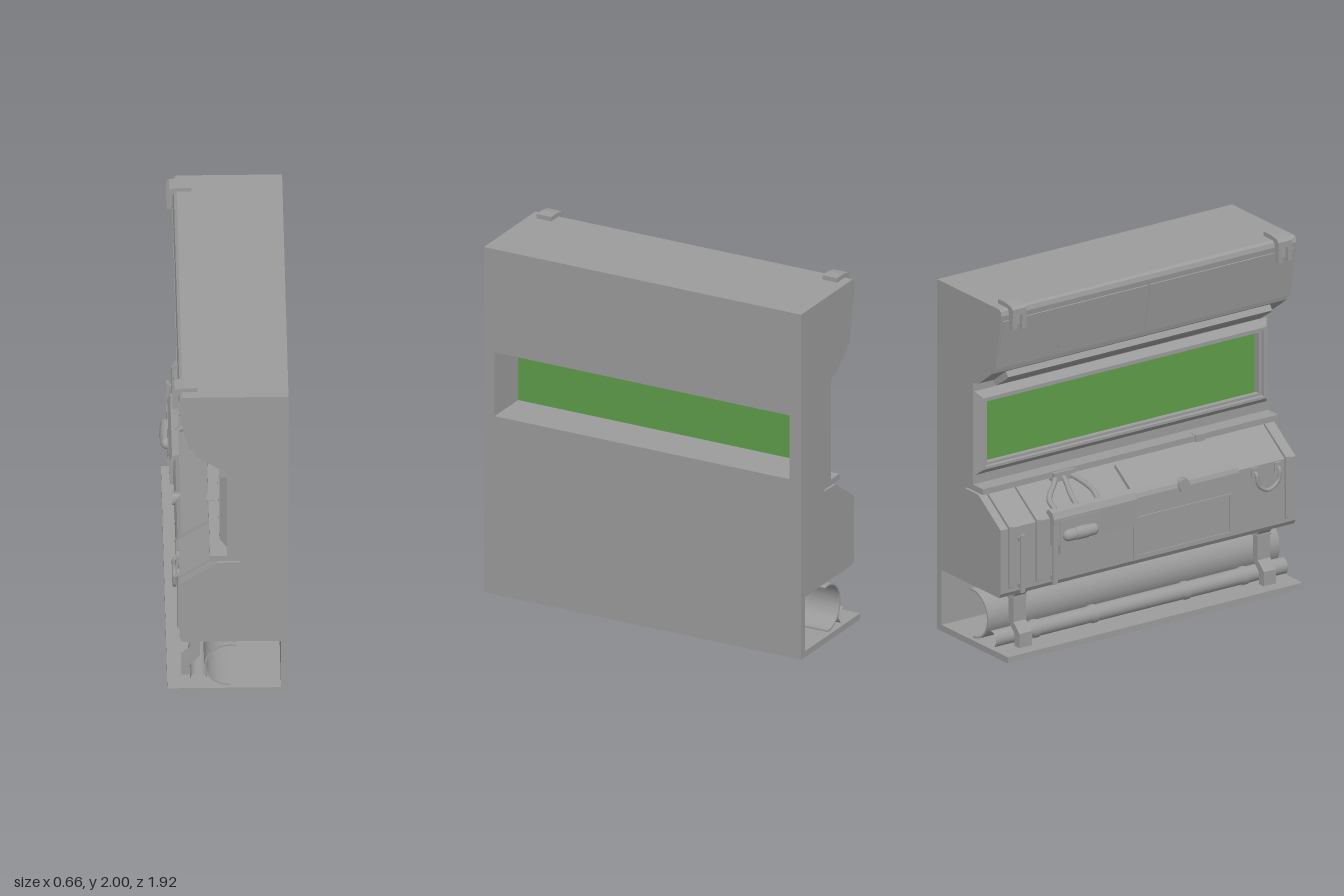
import * as THREE from 'three';

export function createModel() {
  const root = new THREE.Group();
  const metal = new THREE.MeshStandardMaterial({ color: 0x9b9b9b });
  const thin = new THREE.MeshStandardMaterial({ color: 0x9b9b9b, side: THREE.DoubleSide });
  const green = new THREE.MeshStandardMaterial({ color: 0x5e9c49 });

  const add = (name, geo, mat = metal) => {
    const m = new THREE.Mesh(geo, mat);
    m.name = name;
    root.add(m);
  };
  // box given by its min and max on each axis
  const box = (name, x0, x1, y0, y1, z0, z1, mat) =>
    add(name, new THREE.BoxGeometry(x1 - x0, y1 - y0, z1 - z0)
      .translate((x0 + x1) / 2, (y0 + y1) / 2, (z0 + z1) / 2), mat);
  // xy profile swept along z
  const sweep = (name, pts, z0, z1) => {
    const shape = new THREE.Shape(pts.map(p => new THREE.Vector2(...p)));
    const geo = new THREE.ExtrudeGeometry(shape, { depth: z1 - z0, bevelEnabled: false });
    add(name, geo.translate(0, 0, z0));
  };
  const tube = (name, pts, r) => add(name, new THREE.TubeGeometry(
    new THREE.CatmullRomCurve3(pts.map(p => new THREE.Vector3(...p))), 24, r, 8));
  const openPipe = (name, x, y, z0, z1, r) =>
    add(name, new THREE.CylinderGeometry(r, r, z1 - z0, 24, 1, true)
      .rotateX(Math.PI / 2).translate(x, y, (z0 + z1) / 2));

  const Z = 0.96, BACK = 0.325;

  // wall body: hood above the window, cabinet and open bay below it
  sweep('upperWall', [[BACK, 1.385], [BACK, 1.975], [-0.235, 1.975], [-0.25, 1.965], [-0.257, 1.94],
    [-0.202, 1.625], [-0.178, 1.62], [-0.17, 1.59], [-0.05, 1.5], [0, 1.49], [0, 1.385]], -Z, Z);
  sweep('lowerWall', [[BACK, 0], [BACK, 1.02], [0, 1.02], [0, 0.915], [-0.09, 0.915], [-0.09, 0.882],
    [0.07, 0.882], [0.07, 0.872], [-0.05, 0.87], [-0.25, 0.73], [-0.25, 0.37], [-0.235, 0.345],
    [0.285, 0.345], [0.285, 0.035], [-0.315, 0.035], [-0.315, 0]], -Z, Z);
  box('windowPierRear', 0, BACK, 1.02, 1.385, -Z, -0.89);
  box('windowPierFront', 0, BACK, 1.02, 1.385, 0.895, Z);

  // window pane and bevelled frame, lofted from rectangles [x, half height, half length]
  box('windowGlass', 0.03, 0.07, 1.02, 1.385, -0.89, 0.895, green);
  const rings = [[0, 0.237, 0.95], [-0.04, 0.202, 0.92], [-0.04, 0.188, 0.905],
    [-0.022, 0.186, 0.903], [-0.022, 0.172, 0.886], [0.005, 0.172, 0.886]];
  const pos = [];
  const corner = ([x, h, l], k) =>
    [x, 1.2025 + (k === 1 || k === 2 ? h : -h), k > 1 ? l : -l];
  for (let i = 0; i < rings.length - 1; i++) {
    for (let k = 0; k < 4; k++) {
      const n = (k + 1) % 4;
      const a = corner(rings[i], k), b = corner(rings[i], n);
      const c = corner(rings[i + 1], n), d = corner(rings[i + 1], k);
      pos.push(...a, ...c, ...b, ...a, ...d, ...c);
    }
  }
  const frame = new THREE.BufferGeometry();
  frame.setAttribute('position', new THREE.Float32BufferAttribute(pos, 3));
  frame.computeVertexNormals();
  add('windowFrame', frame, thin);

  // hood: two face plates with slanted lower corners, and a lamp strip beneath
  const tilt = Math.atan2(0.055, 0.315);
  for (const s of [-1, 1]) {
    const plate = new THREE.Shape([[0.008, 0.29], [0.95, 0.29], [0.95, 0.09], [0.6, 0.09],
      [0.53, 0.02], [0.008, 0.02]].map(([u, v]) => new THREE.Vector2(s * u, v)));
    const geo = new THREE.ExtrudeGeometry(plate, { depth: 0.007, bevelEnabled: false });
    geo.rotateY(-Math.PI / 2).rotateZ(tilt).translate(-0.202, 1.625, 0);
    add('hoodPlate', geo);
  }
  sweep('lampStrip', [[-0.158, 1.582], [-0.177, 1.552], [-0.165, 1.538], [-0.07, 1.475],
    [-0.05, 1.485], [-0.04, 1.5]], -0.86, 0.86);

  // hooks over the top edge: a cap with two prongs and a bolt between them
  for (const s of [-1, 1]) {
    const z = s * 0.865;
    sweep('hookCap', [[-0.155, 1.97], [-0.155, 2], [-0.22, 2], [-0.275, 1.99], [-0.29, 1.975],
      [-0.29, 1.94], [-0.245, 1.94], [-0.24, 1.97]], z - 0.045, z + 0.045);
    for (const p of [-0.031, 0.031]) {
      sweep('hookProng', [[-0.29, 1.95], [-0.288, 1.86], [-0.265, 1.86], [-0.245, 1.93],
        [-0.245, 1.95]], z + p - 0.014, z + p + 0.014);
    }
    add('hookBolt', new THREE.CylinderGeometry(0.017, 0.017, 0.06, 16).translate(-0.268, 1.915, z));
  }

  // cabinet: ribs and lid following the slope
  for (const z of [-0.9, -0.72, 0.9]) {
    sweep('cabinetRib', [[-0.06, 0.863], [-0.068, 0.875], [-0.262, 0.742], [-0.262, 0.4],
      [-0.245, 0.39], [-0.245, 0.73]], z - 0.012, z + 0.012);
  }
  sweep('cabinetLid', [[-0.08, 0.845], [-0.088, 0.868], [-0.235, 0.768], [-0.255, 0.748], [-0.264, 0.725],
    [-0.264, 0.62], [-0.245, 0.62], [-0.245, 0.73]], -0.1, 0.58);
  box('ledgeBlock', -0.1, -0.06, 0.88, 0.918, 0.42, 0.48);

  // framed service panel
  box('servicePanel', -0.255, -0.24, 0.4, 0.6, -0.08, 0.52);
  for (const y of [0.385, 0.6]) box('panelRail', -0.262, -0.24, y, y + 0.015, -0.1, 0.54);
  for (const z of [-0.1, 0.525]) box('panelStile', -0.262, -0.24, 0.385, 0.615, z, z + 0.015);

  // raised control plate with its grip and guard bars
  sweep('controlPlate', [[-0.245, 0.58], [-0.285, 0.58], [-0.288, 0.73], [-0.272, 0.765],
    [-0.235, 0.775], [-0.215, 0.755], [-0.245, 0.73]], -0.64, -0.1);
  box('gripPlate', -0.292, -0.25, 0.53, 0.72, -0.6, -0.34);
  add('grip', new THREE.CapsuleGeometry(0.033, 0.16, 8, 20).rotateX(Math.PI / 2)
    .translate(-0.295, 0.63, -0.472));
  add('gripSleeve', new THREE.CylinderGeometry(0.036, 0.036, 0.08, 20).rotateX(Math.PI / 2)
    .translate(-0.295, 0.63, -0.472));
  for (const z of [-0.84, -0.63]) {
    box('guardBar', -0.288, -0.276, 0.365, 0.69, z - 0.014, z + 0.014);
    for (const y of [0.4, 0.66]) box('guardMount', -0.28, -0.245, y - 0.012, y + 0.012, z - 0.01, z + 0.01);
  }

  // hoses from the ledge to the control plate
  [-0.6, -0.46, -0.32].forEach((z, i) => {
    const z0 = -0.48 + i * 0.035;
    tube('hose', [[-0.07, 0.885, z0], [-0.12, 0.87, z0 * 0.7 + z * 0.3], [-0.19, 0.805, z],
      [-0.24, 0.765, z], [-0.265, 0.72, z]], 0.015);
  });
  box('hoseClamp', -0.11, -0.06, 0.86, 0.91, -0.51, -0.38);

  // latch knob on the lid edge
  add('latchKnob', new THREE.CylinderGeometry(0.038, 0.038, 0.05, 6)
    .rotateZ(Math.PI / 2).translate(-0.25, 0.735, 0.22));

  // hanging cable loop between two sockets
  tube('cableLoop', [[-0.245, 0.7, 0.69], [-0.273, 0.69, 0.69], [-0.275, 0.63, 0.7], [-0.275, 0.59, 0.765],
    [-0.275, 0.63, 0.83], [-0.273, 0.69, 0.84], [-0.245, 0.7, 0.84]], 0.011);
  for (const z of [0.69, 0.84]) box('loopSocket', -0.262, -0.245, 0.675, 0.725, z - 0.022, z + 0.022);

  // bay: half-round trough, open pipe with collars, and supports
  const arc = r => Array.from({ length: 29 }, (_, i) => {
    const a = THREE.MathUtils.degToRad(75 + i * 195 / 28);
    return [0.015 + r * Math.cos(a), 0.18 + r * Math.sin(a)];
  });
  sweep('trough', [...arc(0.136), ...arc(0.126).reverse()], -0.95, 0.95);
  openPipe('pipe', -0.15, 0.085, -0.95, 0.95, 0.045);
  for (const z of [-0.68, -0.3, 0.3, 0.68]) openPipe('pipeCollar', -0.15, 0.085, z - 0.02, z + 0.02, 0.05);
  for (const z of [-0.79, 0.8]) {
    sweep('baySupport', [[-0.24, 0.035], [-0.24, 0.115], [-0.185, 0.165], [-0.185, 0.31], [-0.215, 0.35],
      [-0.14, 0.35], [-0.14, 0.16], [-0.195, 0.1], [-0.195, 0.035]], z - 0.04, z + 0.04);
    box('supportBand', -0.19, -0.135, 0.295, 0.305, z - 0.045, z + 0.045);
  }
  return root;
}
